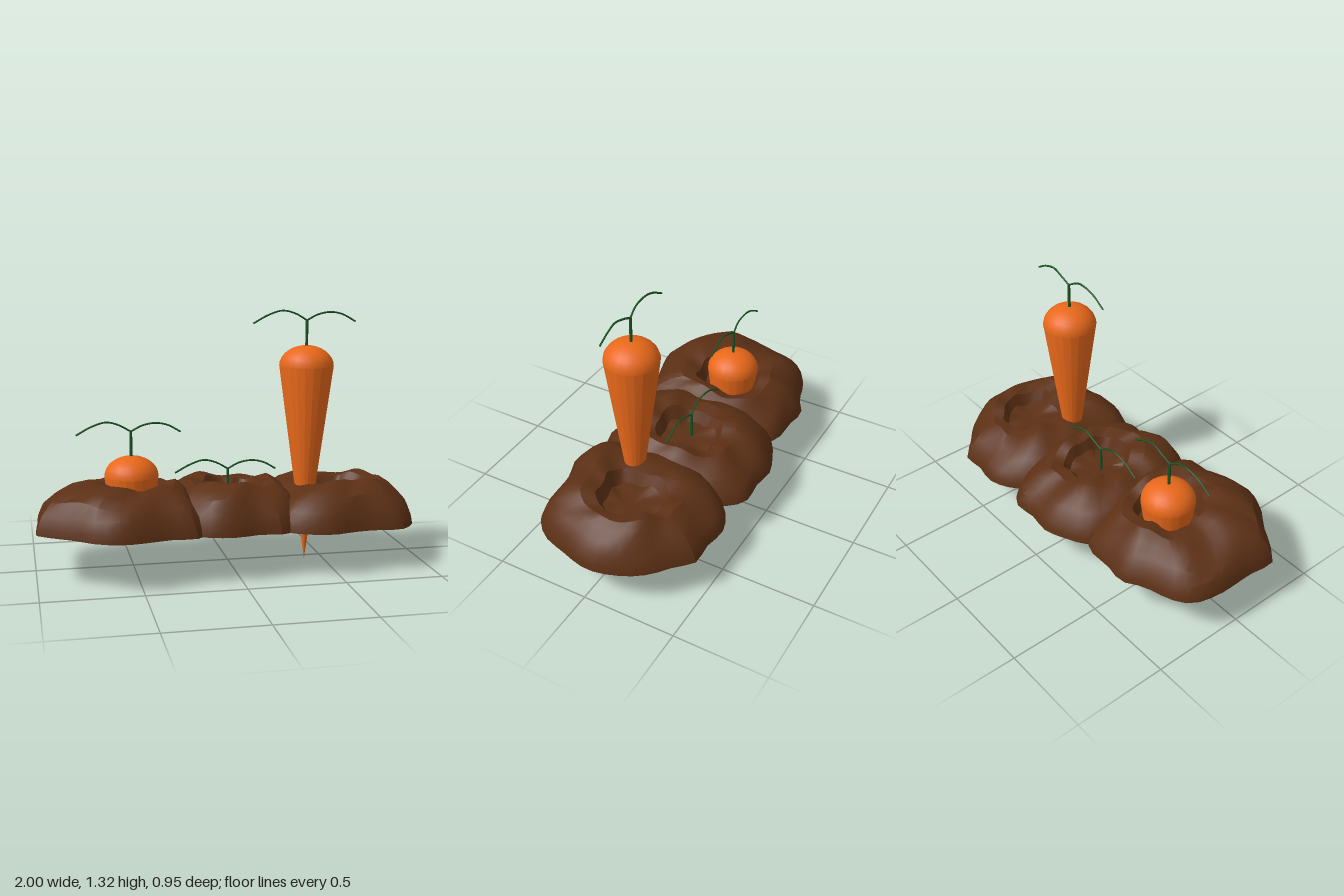
import * as THREE from 'three';
import { toCreasedNormals } from 'three/addons/utils/BufferGeometryUtils.js';

const soil = new THREE.MeshStandardMaterial({ color: 0x5c3015 });
const orange = new THREE.MeshStandardMaterial({ color: 0xe8681a });
const green = new THREE.MeshStandardMaterial({ color: 0x1b5322 });

// Mound rings from underside to crater floor: [scale of outline, height above base]
const RINGS = [[0, 0], [1, 0], [0.985, 0.035], [0.93, 0.09], [0.83, 0.145], [0.7, 0.185],
  [0.55, 0.212], [0.42, 0.2], [0.34, 0.135], [0.18, 0.125], [0, 0.122]];
const SIDES = 44;

// The ground slopes gently down to the right and back
const baseY = (x, z) => 0.234 - 0.02 * x + 0.025 * z;

function mound(name, [cx, cz], [hx, hz], outline, seed) {
  const curve = new THREE.CatmullRomCurve3(outline.map(([x, z]) => new THREE.Vector3(x, 0, z)), true);
  const edge = curve.getSpacedPoints(SIDES);
  const pos = [], idx = [];
  RINGS.forEach(([s, h], k) => {
    const inner = k === 0 ? 0 : 1 - THREE.MathUtils.smoothstep(s, 0.35, 0.9); // shift towards the crater
    edge.forEach((p) => {
      const ox = cx + (hx - cx) * inner, oz = cz + (hz - cz) * inner;
      const a = Math.atan2(p.z - cz, p.x - cx);
      const reach = s < 0.5 ? 0.93 : 1;
      const x = ox + (p.x - cx) * s * reach, z = oz + (p.z - cz) * s * reach;
      const lump = s > 0.3 && s < 0.9 ? 0.012 * Math.sin(3 * a + seed) + 0.008 * Math.sin(7 * a + seed * 2 + k) : 0;
      const tilt = s > 0.35 ? 1 + 0.35 * (z - 0.05) : 1;
      pos.push(x, baseY(x, z) + h * tilt + lump, z);
    });
  });
  const n = SIDES + 1;
  for (let k = 0; k < RINGS.length - 1; k++) {
    for (let i = 0; i < SIDES; i++) {
      const a = k * n + i, b = a + 1, c = a + n, d = c + 1;
      idx.push(a, c, b, b, c, d);
    }
  }
  const g = new THREE.BufferGeometry();
  g.setAttribute('position', new THREE.Float32BufferAttribute(pos, 3));
  g.setIndex(idx);
  const mesh = new THREE.Mesh(toCreasedNormals(g, 0.5), soil);
  mesh.name = name;
  return mesh;
}

// Tapered root with a domed crown; y = 0 is the top of the dome
function root(length) {
  const r = 0.14, dome = 0.105, full = 1.03;
  const pts = [new THREE.Vector2(0, -dome - length)];
  if (length < full) pts.push(new THREE.Vector2(r * (1 - length / full), -dome - length));
  pts.push(new THREE.Vector2(r, -dome));
  for (let i = 1; i <= 8; i++) {
    const a = (i / 8) * Math.PI / 2;
    pts.push(new THREE.Vector2(i === 8 ? 0 : r * Math.cos(a), -dome + dome * Math.sin(a)));
  }
  const mesh = new THREE.Mesh(toCreasedNormals(new THREE.LatheGeometry(pts, 20), 0.4), orange);
  mesh.name = 'root';
  return mesh;
}

// Upright stalk with two drooping leaf stems
function sprout() {
  const group = new THREE.Group();
  group.name = 'sprout';
  const stalk = new THREE.Mesh(new THREE.CylinderGeometry(0.007, 0.008, 0.15, 8), green);
  stalk.name = 'stalk';
  stalk.position.y = 0.055;
  group.add(stalk);
  const leaves = {
    leftLeaf: [[0, 0.127, 0], [0.06, 0.156, -0.004], [0.125, 0.168, 0.003], [0.19, 0.155, 0], [0.257, 0.118, 0.002]],
    rightLeaf: [[0, 0.127, 0], [-0.06, 0.162, 0.004], [-0.125, 0.178, -0.003], [-0.2, 0.158, 0], [-0.28, 0.115, -0.003]],
  };
  for (const [name, pts] of Object.entries(leaves)) {
    const path = new THREE.CatmullRomCurve3(pts.map((p) => new THREE.Vector3(...p)));
    const leaf = new THREE.Mesh(new THREE.TubeGeometry(path, 20, 0.005, 6), green);
    leaf.material.side = THREE.DoubleSide;
    leaf.name = name;
    group.add(leaf);
  }
  return group;
}

function carrot(name, x, top, z, length) {
  const group = new THREE.Group();
  group.name = name;
  if (length > 0) group.add(root(length));
  group.add(sprout());
  group.position.set(x, top, z);
  return group;
}

export function createModel() {
  const model = new THREE.Group();
  model.name = 'carrotPatch';
  model.add(
    mound('rightMound', [-0.58, 0.03], [-0.5, -0.01], [
      [-0.3, -0.38], [-0.22, -0.28], [-0.14, -0.1], [-0.14, 0.1], [-0.18, 0.27], [-0.19, 0.37], [-0.24, 0.41],
      [-0.35, 0.41], [-0.48, 0.45], [-0.6, 0.475], [-0.72, 0.44], [-0.82, 0.36], [-0.93, 0.29], [-1, 0.23],
      [-0.985, 0.1], [-0.98, -0.12], [-0.94, -0.25], [-0.86, -0.31], [-0.7, -0.36], [-0.6, -0.415],
      [-0.48, -0.4], [-0.36, -0.4]], 0.5),
    mound('middleMound', [0.01, -0.02], [0.04, -0.04], [
      [-0.29, -0.38], [-0.2, -0.43], [-0.06, -0.48], [0.05, -0.465], [0.2, -0.47], [0.28, -0.4], [0.36, -0.25],
      [0.38, 0], [0.37, 0.2], [0.28, 0.33], [0.21, 0.375], [0.1, 0.37], [-0.04, 0.41], [-0.18, 0.39],
      [-0.28, 0.3], [-0.37, 0.15], [-0.38, -0.1], [-0.34, -0.28]], 2.1),
    mound('leftMound', [0.58, -0.02], [0.62, -0.05], [
      [0.28, -0.38], [0.36, -0.44], [0.46, -0.47], [0.58, -0.45], [0.7, -0.455], [0.78, -0.38], [0.88, -0.3],
      [0.95, -0.2], [1, -0.03], [0.96, 0.15], [0.92, 0.27], [0.83, 0.36], [0.7, 0.36], [0.58, 0.38],
      [0.46, 0.42], [0.32, 0.395], [0.23, 0.34], [0.2, 0.26], [0.19, 0.1], [0.17, -0.1], [0.2, -0.28]], 3.6),
    carrot('raisedCarrot', 0.4, 1.145, 0.065, 1.03),
    carrot('halfBuriedCarrot', -0.5, 0.585, -0.025, 0.2),
    carrot('buriedCarrot', 0.01, 0.365, -0.045, 0),
  );
  // Rest the tip of the raised carrot on the ground
  model.position.y = -new THREE.Box3().setFromObject(model).min.y;
  return model;
}
